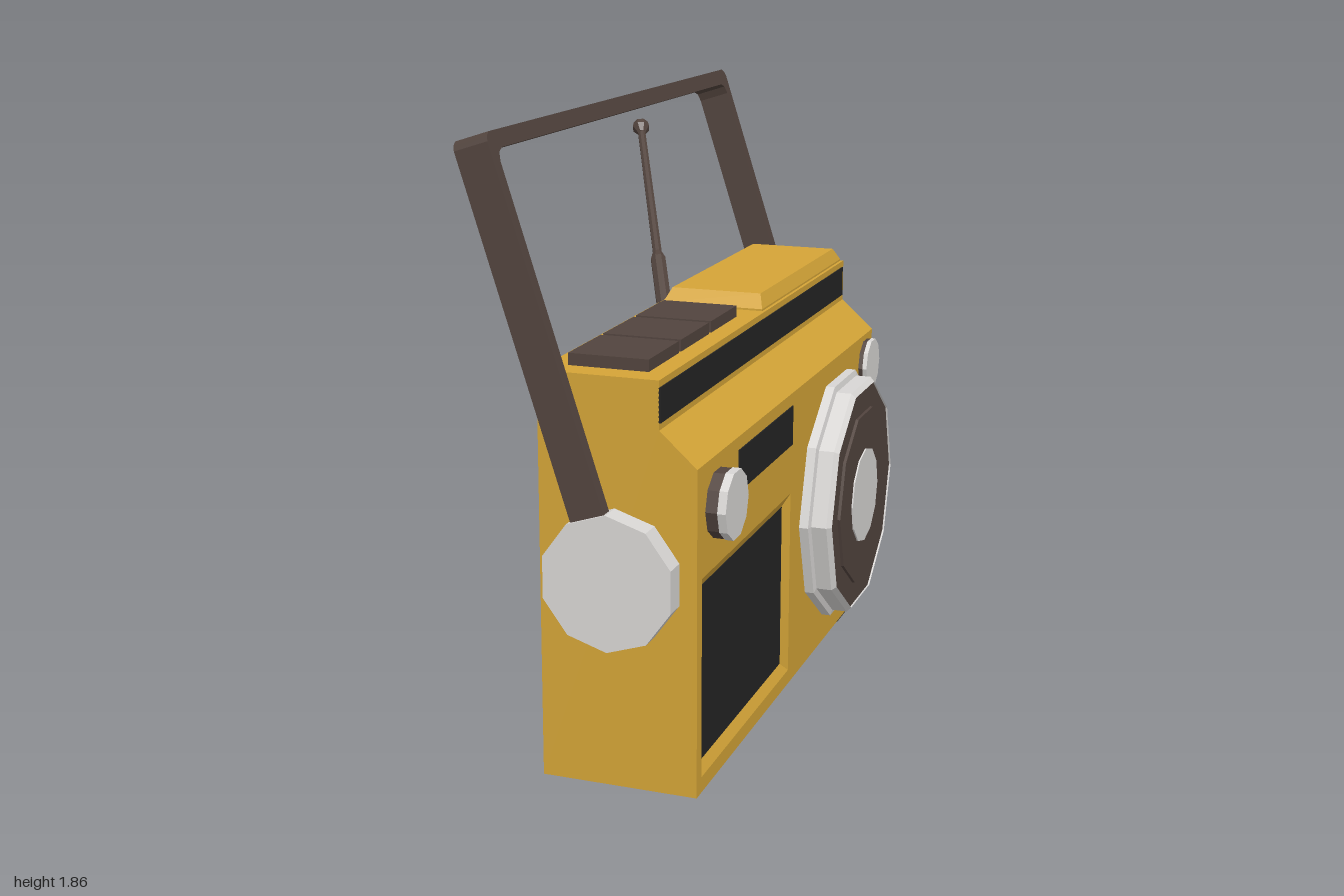
import * as THREE from 'three';

const mat = (name, color) => {
  const m = new THREE.MeshStandardMaterial({ color });
  m.name = name;
  return m;
};

export function createModel() {
  const yellow = mat('mustard yellow', 0xd4a437);
  const brown = mat('dark brown', 0x52443e);
  const black = mat('black', 0x242424);
  const silver = mat('silver', 0xd8d6d4);
  const radio = new THREE.Group();
  radio.name = 'portableRadio';

  const add = (name, geo, material) => {
    const mesh = new THREE.Mesh(geo, material);
    mesh.name = name;
    radio.add(mesh);
    return mesh;
  };
  // Gives every face its own flat normal
  const facet = (geo) => {
    const g = geo.index ? geo.toNonIndexed() : geo;
    g.computeVertexNormals();
    return g;
  };
  // Box from its minimum and maximum corners
  const box = (name, material, x0, x1, y0, y1, z0, z1) =>
    add(name, new THREE.BoxGeometry(x1 - x0, y1 - y0, z1 - z0)
      .translate((x0 + x1) / 2, (y0 + y1) / 2, (z0 + z1) / 2), material);
  // Faceted disc on the speaker face, pointing along x
  const disc = (name, material, r, x0, x1, y, z, sides = 10) =>
    add(name, facet(new THREE.CylinderGeometry(r, r, x1 - x0, sides).rotateZ(-Math.PI / 2))
      .translate((x0 + x1) / 2, y, z), material);
  const polygon = (pts) => new THREE.Shape(pts.map(([a, b]) => new THREE.Vector2(a, b)));
  const rect = (a0, a1, b0, b1) => [[a0, b0], [a1, b0], [a1, b1], [a0, b1]];

  // Case: stepped side profile swept along z
  const face = 0.39, back = face - 0.02, half = 0.93, base = 0.003;
  const profile = polygon([[-0.08, base], [back, base], [back, 0.97], [face, 0.97],
    [0.28, 1.07], [0.28, 1.21], [-0.08, 1.21]]);
  add('case', new THREE.ExtrudeGeometry(profile, { depth: half * 2, bevelEnabled: false })
    .translate(0, 0, -half), yellow);

  // Front panel with the cassette opening; shape x runs along -z
  const outer = rect(-0.89, -0.05, 0.05, 0.645);
  const inner = rect(-0.85, -0.09, 0.085, 0.61);
  const panel = polygon(rect(-half, half, base, 0.97));
  panel.holes.push(new THREE.Path(outer.map(([a, b]) => new THREE.Vector2(a, b))));
  add('frontPanel', new THREE.ExtrudeGeometry(panel, { depth: 0.02, bevelEnabled: false })
    .rotateY(Math.PI / 2).translate(back, 0, 0), yellow);

  // Sloping walls of the cassette opening
  const walls = [];
  for (let i = 0; i < 4; i++) {
    const j = (i + 1) % 4;
    const o = (k) => [face, outer[k][1], -outer[k][0]];
    const n = (k) => [back + 0.002, inner[k][1], -inner[k][0]];
    walls.push(...o(i), ...o(j), ...n(j), ...o(i), ...n(j), ...n(i));
  }
  const wallGeo = new THREE.BufferGeometry();
  wallGeo.setAttribute('position', new THREE.Float32BufferAttribute(walls, 3));
  wallGeo.computeVertexNormals();
  add('cassetteSurround', wallGeo, yellow);
  box('cassetteWindow', black, back - 0.002, back + 0.004, 0.085, 0.61, 0.09, 0.85);

  // Dark plates
  box('tuningStrip', black, 0.278, 0.284, 1.09, 1.19, -0.91, 0.93);
  box('display', black, face - 0.002, face + 0.004, 0.805, 0.93, 0.045, 0.575);
  box('bottomPlate', black, -0.08, face, 0, 0.004, -half, -0.54);

  // Speaker: stepped ten-sided rim, cone and centre
  const rim = [[0.42, 0], [0.42, 0.03], [0.4, 0.035], [0.4, 0.085], [0.385, 0.1], [0.385, 0.08]];
  add('speakerRim', facet(new THREE.LatheGeometry(rim.map((p) => new THREE.Vector2(...p)), 10)
    .rotateZ(-Math.PI / 2)).translate(face, 0.5, -0.47), silver);
  disc('speakerCone', brown, 0.386, face, 0.484, 0.5, -0.47);
  disc('speakerInnerRing', brown, 0.3, face, 0.494, 0.5, -0.47);
  disc('speakerCentre', silver, 0.162, face, 0.499, 0.5, -0.47, 12);

  // Knobs
  disc('tuningKnobBase', brown, 0.1, face, 0.425, 0.83, 0.765);
  disc('tuningKnobCap', silver, 0.102, 0.425, 0.45, 0.83, 0.765);
  disc('volumeKnobBase', brown, 0.088, face, 0.405, 0.865, -0.84);
  disc('volumeKnobCap', silver, 0.09, 0.405, 0.42, 0.865, -0.84);

  // Top buttons
  for (let i = 0; i < 3; i++) {
    const z = 0.09 + i * 0.26;
    box('topButton', brown, -0.02, 0.22, 1.2, 1.245, z, z + 0.24);
  }

  // Raised top cover with sloping sides
  const cover = new THREE.BoxGeometry(0.33, 0.06, 0.91, 1, 2, 1);
  const p = cover.attributes.position;
  for (let i = 0; i < p.count; i++) {
    if (p.getY(i) > 0.01) {
      p.setX(i, p.getX(i) - Math.sign(p.getX(i)) * 0.018);
      p.setZ(i, p.getZ(i) - Math.sign(p.getZ(i)) * 0.038);
    } else if (p.getY(i) > -0.01) p.setY(i, -0.012);
  }
  add('topCover', facet(cover).translate(0.105, 1.228, -0.468), yellow);

  // Hinge caps at both ends
  for (const s of [-1, 1]) {
    add('hingeCap', facet(new THREE.CylinderGeometry(0.2, 0.2, 0.07, 10).rotateX(Math.PI / 2))
      .translate(0.148, 0.635, s * 0.965), silver);
  }

  // Carrying handle: leaning flat bow with clipped corners
  const bow = polygon([[-0.99, -0.1], [-0.95, -0.1], [-0.95, 1.0], [-0.94, 1.025], [-0.915, 1.035],
    [0.915, 1.035], [0.94, 1.025], [0.95, 1.0], [0.95, -0.1], [0.99, -0.1],
    [0.99, 1.06], [0.982, 1.075], [0.965, 1.085], [-0.965, 1.085], [-0.982, 1.075], [-0.99, 1.06]]);
  add('handle', new THREE.ExtrudeGeometry(bow, { depth: 0.105, bevelEnabled: false })
    .translate(0, 0, -0.0525).rotateY(-Math.PI / 2).rotateZ(0.31)
    .translate(0.09, 0.815, 0), brown);

  // Telescopic antenna
  const start = new THREE.Vector3(-0.06, 1.09, -0.06);
  const end = new THREE.Vector3(-0.475, 1.665, -0.895);
  const dir = end.clone().sub(start).normalize();
  const rod = (name, t0, t1, r0, r1) => {
    const a = start.clone().lerp(end, t0), b = start.clone().lerp(end, t1);
    const m = add(name, facet(new THREE.CylinderGeometry(r1, r0, a.distanceTo(b), 8)), brown);
    m.position.copy(a).lerp(b, 0.5);
    m.quaternion.setFromUnitVectors(new THREE.Vector3(0, 1, 0), dir);
  };
  rod('antennaBase', 0, 0.34, 0.026, 0.026);
  rod('antennaCollar', 0.34, 0.37, 0.026, 0.016);
  rod('antennaRod', 0.36, 0.97, 0.016, 0.014);
  rod('antennaTipNeck', 0.955, 0.98, 0.015, 0.031);
  rod('antennaTip', 0.98, 1, 0.031, 0.028);

  return radio;
}
